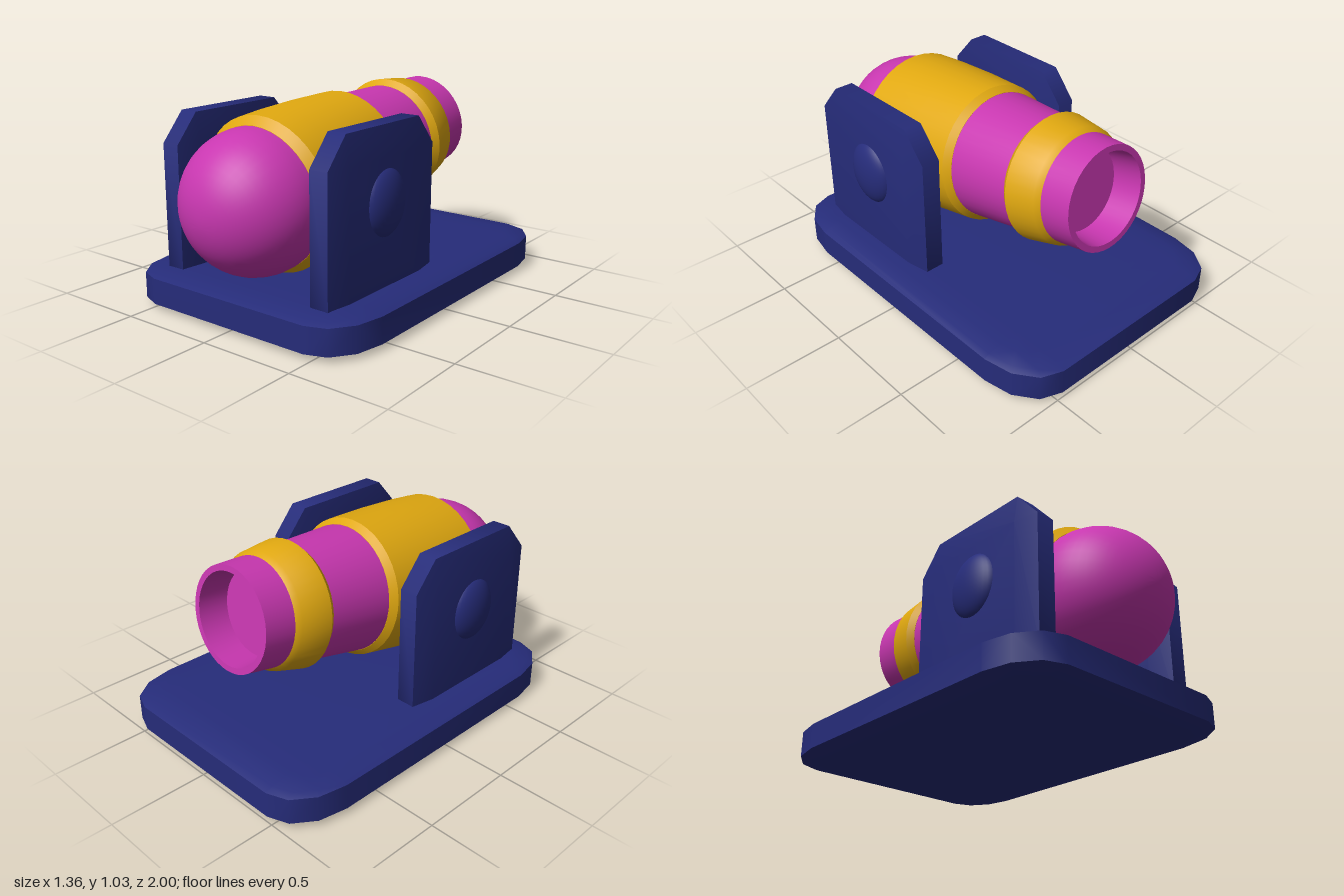
import * as THREE from 'three';
import { toCreasedNormals } from 'three/addons/utils/BufferGeometryUtils.js';
import { ConvexGeometry } from 'three/addons/geometries/ConvexGeometry.js';

const navy = new THREE.MeshStandardMaterial({ color: 0x262c7a });
const magenta = new THREE.MeshStandardMaterial({ color: 0xc837b0 });
const gold = new THREE.MeshStandardMaterial({ color: 0xe0a810 });

function addMesh(parent, name, geometry, material) {
  const mesh = new THREE.Mesh(geometry, material);
  mesh.name = name;
  parent.add(mesh);
  return mesh;
}

// Block whose corners are rounded in proportion to each side, with n steps per corner
function softBlock(w, h, d, n, ratio = 0.155) {
  const points = [];
  for (const sx of [-1, 1]) for (const sy of [-1, 1]) for (const sz of [-1, 1]) {
    for (let i = 0; i <= n; i++) {
      const lat = (i / n) * Math.PI / 2;
      const steps = i === n ? 0 : n;
      for (let j = 0; j <= steps; j++) {
        const lon = (j / n) * Math.PI / 2;
        const c = 0.5 - ratio;
        points.push(new THREE.Vector3(
          sx * w * (c + ratio * Math.cos(lat) * Math.cos(lon)),
          sy * h * (c + ratio * Math.sin(lat)),
          sz * d * (c + ratio * Math.cos(lat) * Math.sin(lon))));
      }
    }
  }
  return toCreasedNormals(new ConvexGeometry(points), 0.9);
}

// Turned part from [radius, distance along the barrel] pairs
function turned(profile) {
  const points = profile.map(([r, s]) => new THREE.Vector2(r, s));
  return toCreasedNormals(new THREE.LatheGeometry(points, 40), 0.6);
}

export function createModel() {
  const model = new THREE.Group();
  model.name = 'cannon';

  // Base slab
  addMesh(model, 'base', softBlock(1.36, 0.19, 1.87, 3), navy).position.set(0, 0.098, -0.065);

  // Side cheeks with domed pivot caps
  for (const side of [-1, 1]) {
    const name = side > 0 ? 'left' : 'right';
    addMesh(model, name + 'Cheek', softBlock(0.142, 0.94, 0.82, 1), navy)
      .position.set(side * 0.453, 0.485, 0.33);
    const cap = addMesh(model, name + 'PivotCap', new THREE.SphereGeometry(1, 32, 20), navy);
    cap.scale.set(0.073, 0.17, 0.15);
    cap.position.set(side * 0.5, 0.595, 0.33);
  }

  // Barrel group, pointing backwards and tilted up
  const barrel = new THREE.Group();
  barrel.name = 'barrel';
  barrel.position.set(0, 0.583, 0.645);
  barrel.rotation.x = -THREE.MathUtils.degToRad(83);
  model.add(barrel);

  // Round breech running into the tapered tube and the hollow muzzle
  const tube = [];
  const R = 0.353;
  for (let i = 0; i <= 14; i++) {
    const a = (i / 14) * Math.PI / 2;
    tube.push([R * Math.sin(a), -R * Math.cos(a)]);
  }
  tube.push([0.35, 0.05], [0.325, 0.725], [0.292, 1.07], [0.27, 1.28], [0.258, 1.441],
    [0.228, 1.441], [0.212, 1.29], [0, 1.29]);
  addMesh(barrel, 'barrelTube', turned(tube), magenta);

  // Raised bands with bevelled edges
  addMesh(barrel, 'breechBand', turned([
    [0.335, 0.04], [0.352, 0.042], [0.39, 0.083], [0.388, 0.22], [0.376, 0.45],
    [0.355, 0.693], [0.326, 0.727], [0.31, 0.727]]), gold);
  addMesh(barrel, 'muzzleBand', turned([
    [0.275, 1.066], [0.293, 1.067], [0.32, 1.102], [0.291, 1.257], [0.269, 1.283], [0.255, 1.283]]), gold);

  return model;
}
